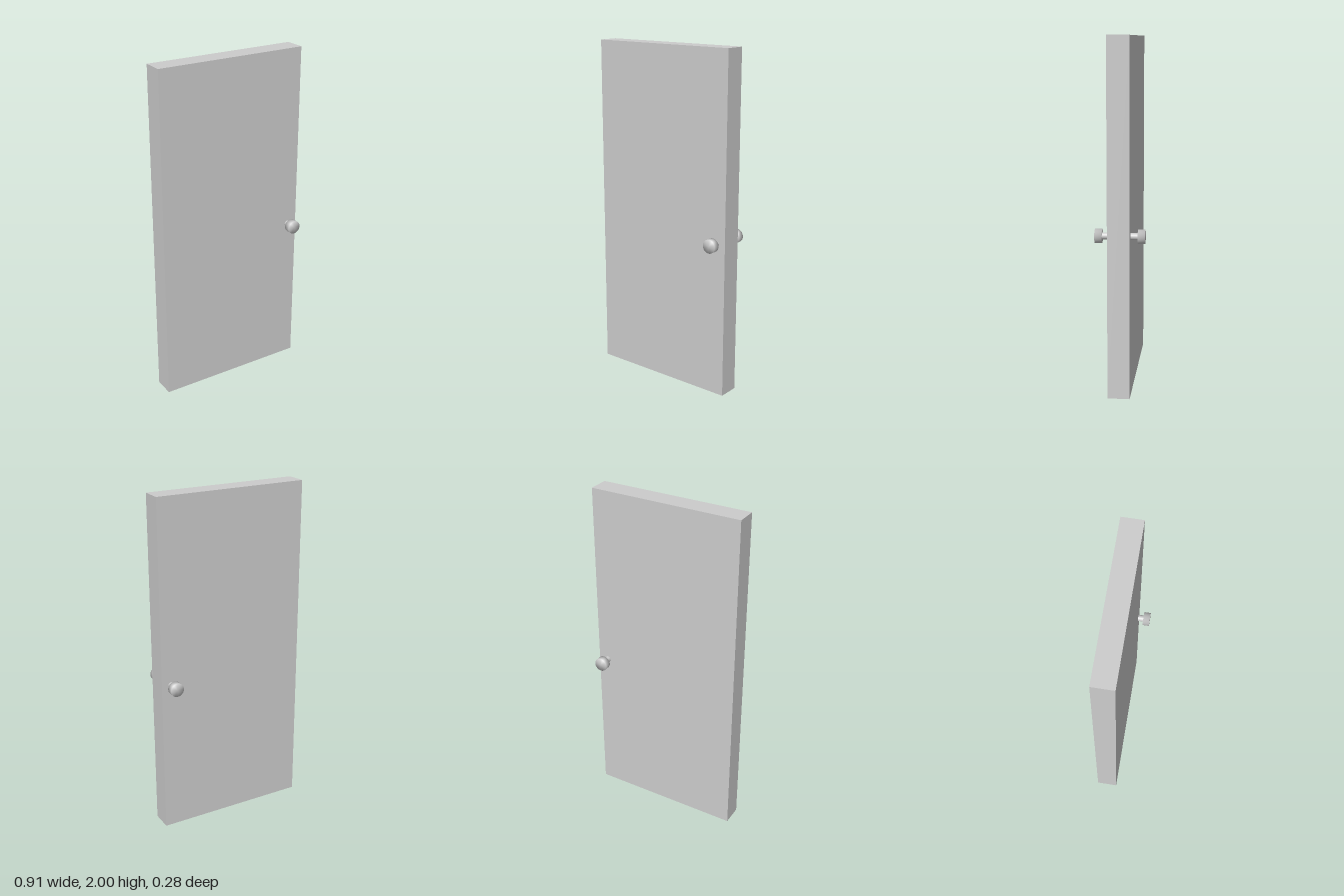
import * as THREE from 'three';

export function createModel() {
  const door = new THREE.Group();
  door.name = 'door';
  const grey = new THREE.MeshStandardMaterial({ color: 0xcccccc });
  grey.name = 'light grey';

  const add = (name, geometry, x, y, z) => {
    const mesh = new THREE.Mesh(geometry, grey);
    mesh.name = name;
    mesh.position.set(x, y, z);
    door.add(mesh);
    return mesh;
  };

  // Plain slab
  add('doorPanel', new THREE.BoxGeometry(0.91, 2, 0.124), 0, 1, 0.002);

  // Spindle running through the slab to both knobs
  const knobX = 0.396, knobY = 0.92;
  const spindle = new THREE.CylinderGeometry(0.019, 0.019, 0.2, 32, 1, true);
  add('spindle', spindle, knobX, knobY, -0.002).rotation.x = Math.PI / 2;

  // Disc knobs, softly shaded across their rims
  const profile = [[0, 0], [0.04, 0], [0.04, 0.039], [0, 0.039]]
    .map(([r, h]) => new THREE.Vector2(r, h));
  const knob = new THREE.LatheGeometry(profile, 32);
  add('frontKnob', knob, knobX, knobY, 0.097).rotation.x = Math.PI / 2;
  add('backKnob', knob, knobX, knobY, -0.101).rotation.x = -Math.PI / 2;

  return door;
}
